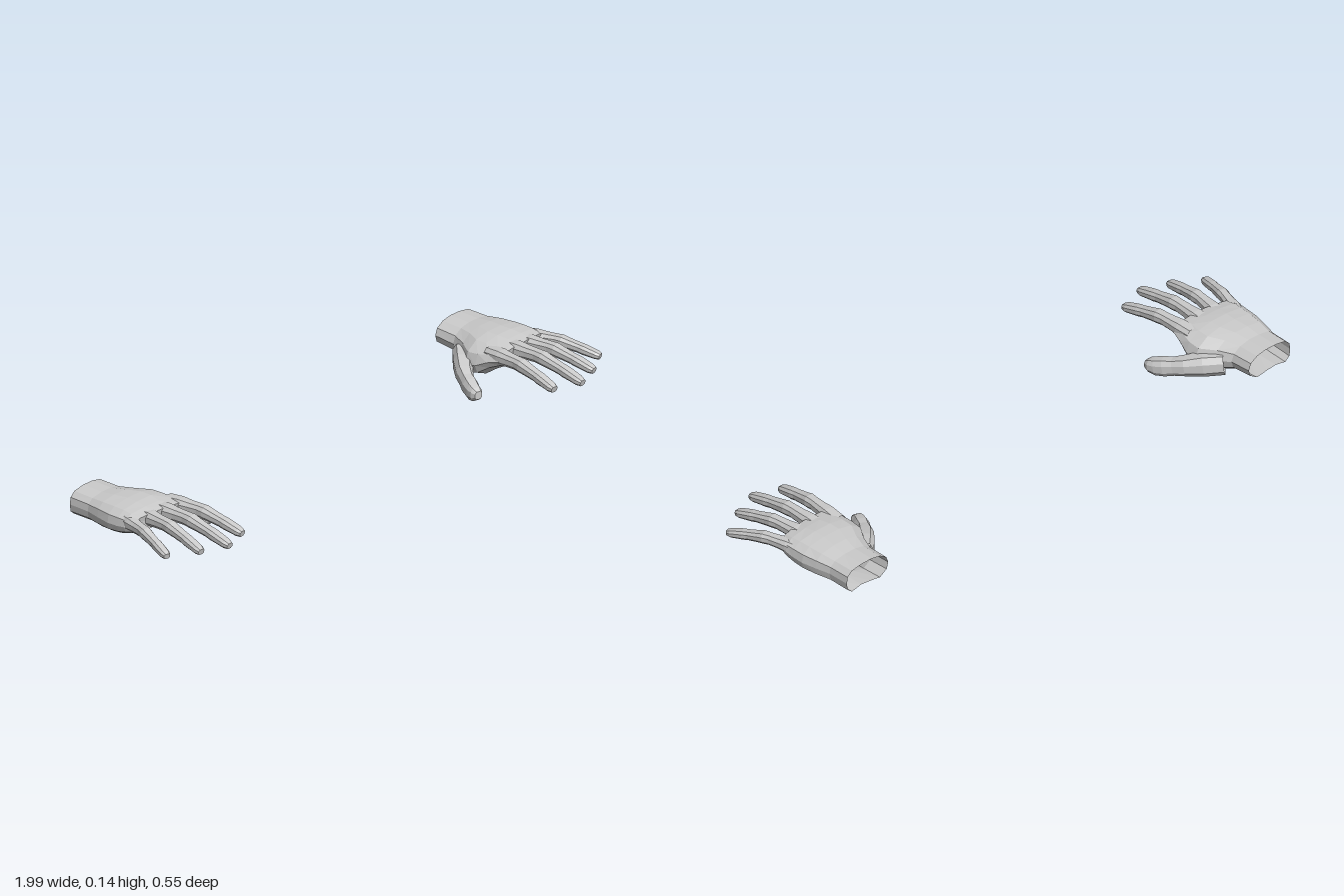
import * as THREE from 'three';

const skin = new THREE.MeshStandardMaterial({ color: 0xcccccc, flatShading: true, side: THREE.DoubleSide });

// Skin a list of rings (Vector3 loops); the far end is closed, the near end left open.
function loft(name, rings, mirror) {
  const n = rings[0].length, pos = [], idx = [];
  const push = (p) => pos.push(p.x * mirror, p.y, p.z);
  const tri = (a, b, c) => (mirror > 0 ? idx.push(a, b, c) : idx.push(a, c, b));
  rings.forEach((r) => r.forEach(push));
  for (let i = 0; i < rings.length - 1; i++) {
    for (let j = 0; j < n; j++) {
      const k = (j + 1) % n;
      const a = i * n + j, b = i * n + k, c = a + n, d = b + n;
      tri(a, b, d);
      tri(a, d, c);
    }
  }
  const last = rings[rings.length - 1], base = (rings.length - 1) * n;
  push(last.reduce((s, p) => s.add(p), new THREE.Vector3()).divideScalar(n));
  for (let j = 0; j < n; j++) tri(rings.length * n, base + j, base + ((j + 1) % n));
  let geo = new THREE.BufferGeometry();
  geo.setAttribute('position', new THREE.Float32BufferAttribute(pos, 3));
  geo.setIndex(idx);
  geo = geo.toNonIndexed();
  geo.computeVertexNormals();
  const mesh = new THREE.Mesh(geo, skin);
  mesh.name = name;
  return mesh;
}

// Palm section: u runs from thumb side (0) to little-finger side (1), t from edge to top (1) or bottom (-1)
const SECTION = [
  [1, 0], [0.98, 0.5], [0.88, 0.85], [0.64, 1], [0.4, 1], [0.2, 0.85], [0.05, 0.5],
  [0, 0], [0.04, -0.55], [0.2, -1], [0.42, -0.85], [0.65, -0.75], [0.88, -0.95], [0.98, -0.6],
];
// z, inner x, outer x, inner edge y, outer edge y, top, inner bottom, outer bottom, knuckle slant
const PALM = [
  [-0.275, 0.745, 0.916, 0.09, 0.09, 0.135, 0.05, 0.05, 0],
  [-0.2, 0.743, 0.918, 0.085, 0.09, 0.134, 0.042, 0.052, 0],
  [-0.15, 0.72, 0.93, 0.075, 0.09, 0.14, 0.021, 0.052, 0],
  [-0.1, 0.685, 0.94, 0.067, 0.09, 0.143, 0.015, 0.055, 0],
  [-0.06, 0.685, 0.942, 0.075, 0.092, 0.143, 0.025, 0.06, 0],
  [-0.02, 0.694, 0.943, 0.094, 0.097, 0.139, 0.057, 0.068, 0.01],
  [0.02, 0.703, 0.938, 0.105, 0.1, 0.132, 0.08, 0.078, 0.02],
];
const lerp = THREE.MathUtils.lerp;

function palm(mirror) {
  const rings = PALM.map(([z, x0, x1, e0, e1, top, b0, b1, slant]) =>
    SECTION.map(([u, t]) => {
      const edge = lerp(e0, e1, u);
      const goal = t > 0 ? top : lerp(b0, b1, u);
      return new THREE.Vector3(lerp(x0, x1, u), lerp(edge, goal, Math.abs(t)), z - slant * u ** 3);
    }));
  return loft('palm', rings, mirror);
}

// Tapered digit: eight-sided rounded sections along a path of { p, w, h }
const OCT = [[1, -0.45], [1, 0.4], [0.6, 0.95], [-0.6, 0.95], [-1, 0.4], [-1, -0.45], [-0.55, -1], [0.55, -1]];

function digit(name, path, mirror) {
  const up = new THREE.Vector3(0, 1, 0);
  const rings = path.map(({ p, w, h }, i) => {
    const from = path[Math.max(i - 1, 0)].p, to = path[Math.min(i + 1, path.length - 1)].p;
    const dir = to.clone().sub(from).normalize();
    const side = up.clone().cross(dir).normalize();
    const rise = dir.clone().cross(side);
    return OCT.map(([a, b]) => p.clone().addScaledVector(side, a * w).addScaledVector(rise, b * h));
  });
  return loft(name, rings, mirror);
}

// Shared finger rule: distance along, share of the droop, half width, half height
const JOINTS = [
  [0, 0, 0.025, 0.022], [0.18, -0.08, 0.025, 0.023], [0.3, -0.1, 0.021, 0.02],
  [0.42, -0.12, 0.019, 0.019], [0.5, -0.08, 0.021, 0.02], [0.58, 0.08, 0.019, 0.018],
  [0.72, 0.35, 0.017, 0.016], [0.78, 0.48, 0.0185, 0.0165], [0.86, 0.66, 0.018, 0.015],
  [0.95, 0.88, 0.017, 0.0135], [1, 1, 0.012, 0.01],
];
// name, base x, z, tip x, z, base y, tip y, thickness
const FINGERS = [
  ['indexFinger', 0.732, -0.04, 0.709, 0.243, 0.11, 0.08, 1],
  ['middleFinger', 0.797, -0.04, 0.802, 0.275, 0.113, 0.08, 1],
  ['ringFinger', 0.856, -0.04, 0.893, 0.24, 0.111, 0.08, 0.97],
  ['littleFinger', 0.908, -0.06, 0.985, 0.183, 0.104, 0.079, 0.9],
];
// Thumb: x, y, z, half width, half height
const THUMB = [
  [0.745, 0.065, -0.165, 0.03, 0.035], [0.7, 0.058, -0.12, 0.031, 0.036],
  [0.66, 0.05, -0.08, 0.026, 0.03], [0.64, 0.043, -0.052, 0.022, 0.027],
  [0.625, 0.037, -0.026, 0.024, 0.029], [0.612, 0.032, -0.002, 0.022, 0.027],
  [0.606, 0.031, 0.016, 0.02, 0.022], [0.603, 0.031, 0.029, 0.013, 0.013],
];

function hand(name, mirror) {
  const g = new THREE.Group();
  g.name = name;
  g.add(palm(mirror));
  for (const [label, x0, z0, x1, z1, y0, y1, s] of FINGERS) {
    const path = JOINTS.map(([t, droop, w, h]) => ({
      p: new THREE.Vector3(lerp(x0, x1, t), lerp(y0, y1, droop), lerp(z0, z1, t)), w: w * s, h: h * s,
    }));
    g.add(digit(label, path, mirror));
  }
  g.add(digit('thumb', THUMB.map(([x, y, z, w, h]) => ({ p: new THREE.Vector3(x, y, z), w, h })), mirror));
  return g;
}

export function createModel() {
  const model = new THREE.Group();
  model.name = 'pairOfHands';
  model.add(hand('leftHand', 1), hand('rightHand', -1));
  return model;
}
